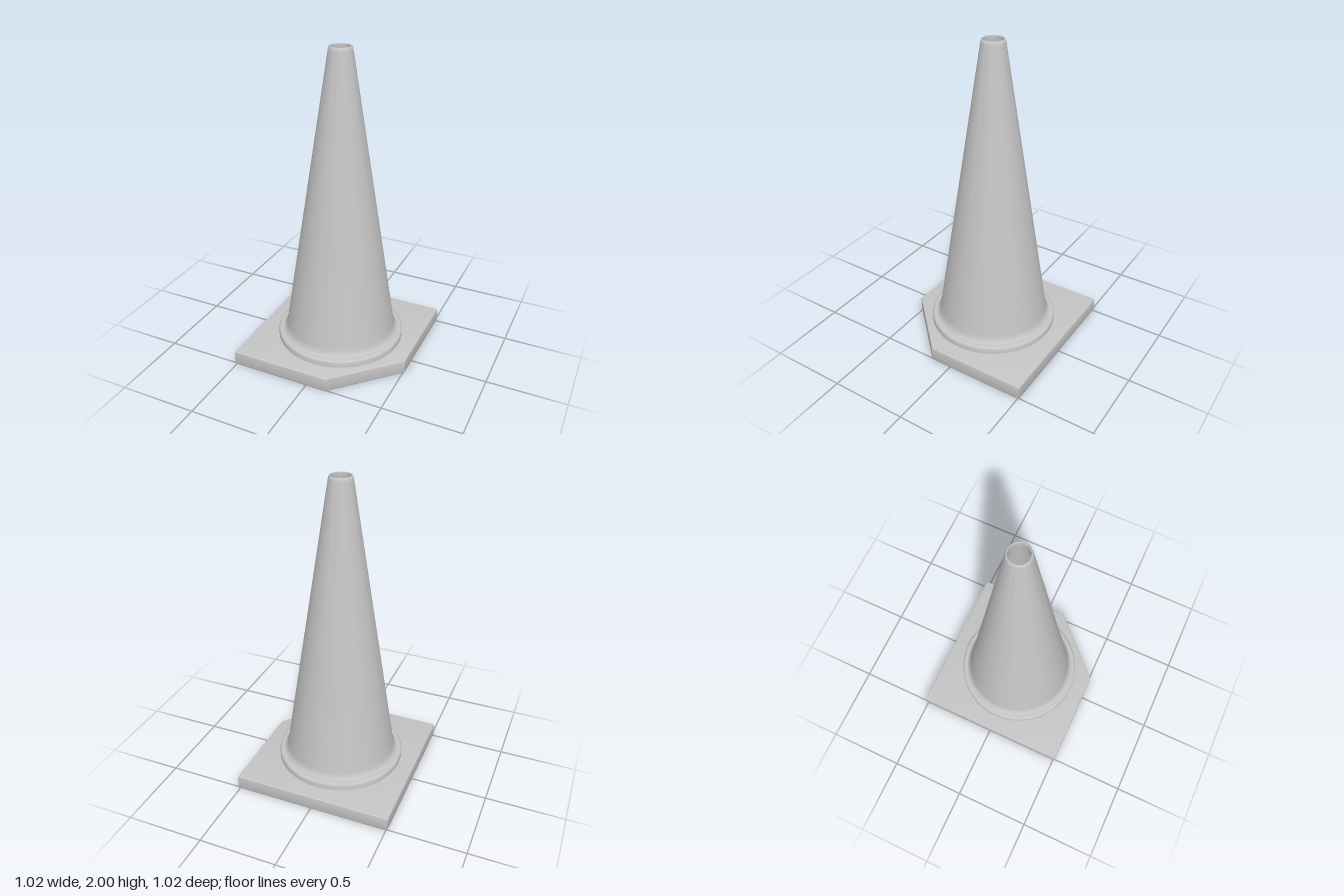
import * as THREE from 'three';
import { toCreasedNormals } from 'three/addons/utils/BufferGeometryUtils.js';

const grey = new THREE.MeshStandardMaterial({ color: 0xc4c4c4 });
grey.name = 'plain grey';

function addPart(group, name, geometry, crease) {
  const mesh = new THREE.Mesh(toCreasedNormals(geometry, crease), grey);
  mesh.name = name;
  group.add(mesh);
}

function lathe(points) {
  return new THREE.LatheGeometry(points.map(([r, y]) => new THREE.Vector2(r, y)), 96);
}

export function createModel() {
  const group = new THREE.Group();
  group.name = 'trafficCone';

  // Square base plate with one corner cut off and softened edges, drawn in (x, z)
  const h = 0.51, cut = 0.135, bevel = 0.007, height = 0.095;
  const outline = new THREE.Shape(
    [[-h, -h], [h, -h], [h, cut], [cut, h], [-h, h]].map(([x, z]) => new THREE.Vector2(x, z)));
  const base = new THREE.ExtrudeGeometry(outline, {
    depth: height - 2 * bevel,
    bevelThickness: bevel, bevelSize: bevel, bevelOffset: -bevel, bevelSegments: 3,
  });
  base.rotateX(Math.PI / 2).translate(0, height - bevel, 0);
  addPart(group, 'basePlate', base, 0.6);

  // Raised collar with a rounded shoulder
  addPart(group, 'collar', lathe([
    [0.408, 0.09], [0.408, 0.125], [0.405, 0.133], [0.398, 0.138], [0.388, 0.14], [0.36, 0.14],
  ]), 0.6);

  // Hollow cone: flared foot, straight wall, rounded rim and inner wall
  addPart(group, 'coneBody', lathe([
    [0.376, 0.139], [0.366, 0.148], [0.358, 0.16], [0.353, 0.175], [0.349, 0.195],
    [0.073, 1.975], [0.07, 1.99], [0.066, 1.998], [0.062, 2], [0.059, 1.997], [0.058, 1.985],
    [0.062, 1.95], [0.335, 0.18], [0.335, 0.09],
  ]), 0.7);

  return group;
}
